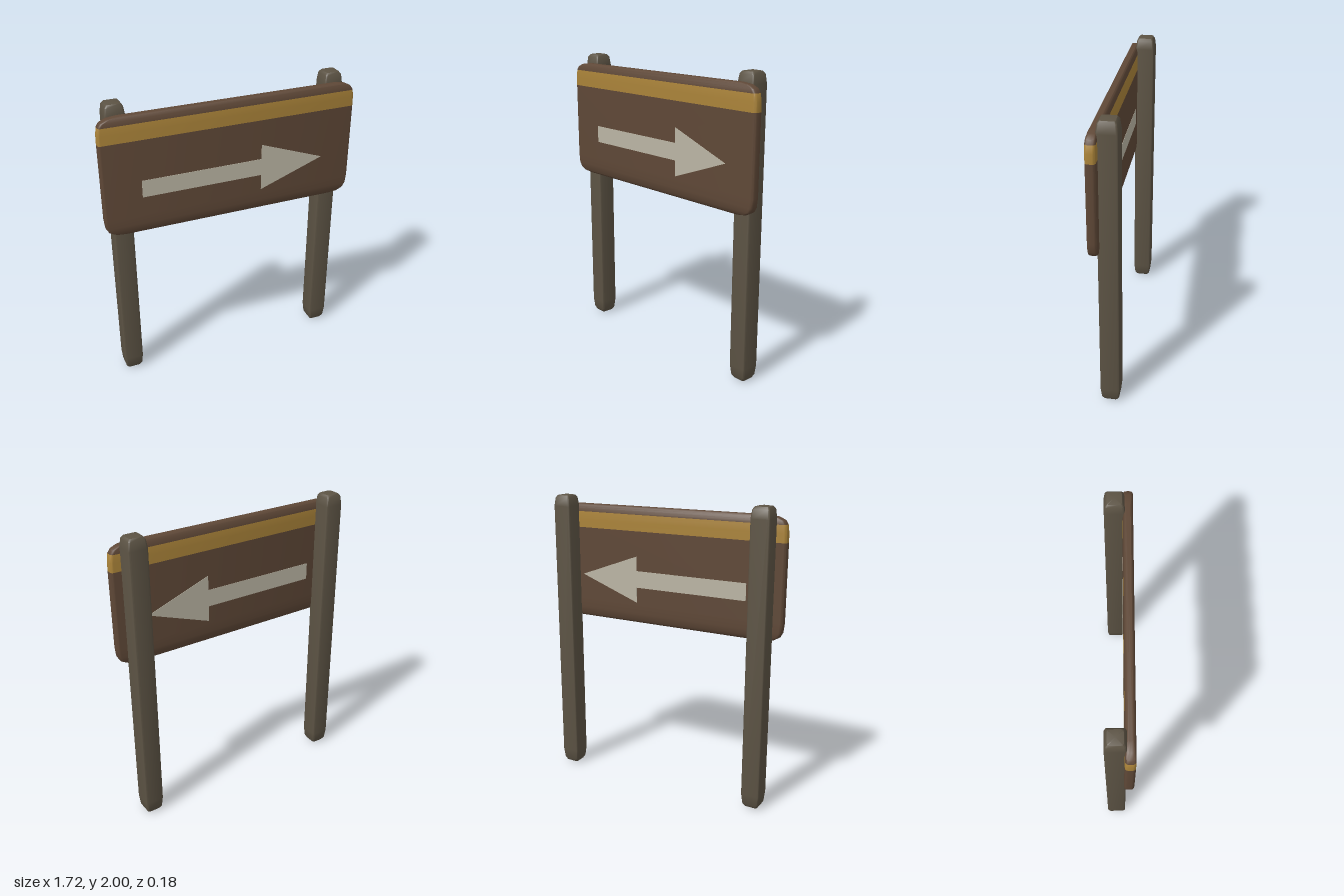
import * as THREE from 'three';
import { toCreasedNormals } from 'three/addons/utils/BufferGeometryUtils.js';

const paint = (name, color) => {
  const m = new THREE.MeshStandardMaterial({ color });
  m.name = name;
  return m;
};

// Stacks rounded rectangles [y, halfWidth, halfDepth, materialIndex]; zero width closes an end.
function loft(levels, radius) {
  const pos = [], index = [], perCorner = 4, n = perCorner * 4;
  const corners = [[1, 1], [-1, 1], [-1, -1], [1, -1]];
  for (const [y, w, d] of levels) {
    const r = Math.min(radius, w, d);
    corners.forEach(([sx, sz], c) => {
      for (let k = 0; k < perCorner; k++) {
        const a = (c + k / (perCorner - 1)) * Math.PI / 2;
        pos.push(sx * (w - r) + r * Math.cos(a), y, -(sz * (d - r) + r * Math.sin(a)));
      }
    });
  }
  const geo = new THREE.BufferGeometry();
  for (let j = 0; j < levels.length - 1; j++) {
    const start = index.length;
    for (let i = 0; i < n; i++) {
      const i2 = (i + 1) % n;
      const a = j * n + i, b = j * n + i2, c = b + n, d = a + n;
      if (levels[j][1] > 0) index.push(a, b, levels[j + 1][1] > 0 ? c : d);
      if (levels[j + 1][1] > 0) index.push(a, c, d);
    }
    geo.addGroup(start, index.length - start, levels[j][3] || 0);
  }
  geo.setAttribute('position', new THREE.Float32BufferAttribute(pos, 3));
  geo.setIndex(index);
  return toCreasedNormals(geo, 0.65);
}

export function createModel() {
  const group = new THREE.Group();
  const postWood = paint('postWood', 0x5c5344);
  const boardBrown = paint('boardBrown', 0x5f4837);
  const stripeOchre = paint('stripeOchre', 0xaa8339);
  const arrowCream = paint('arrowCream', 0xbbb5a4);

  const add = (name, geo, mat, x, y, z) => {
    const mesh = new THREE.Mesh(geo, mat);
    mesh.name = name;
    mesh.position.set(x, y, z);
    group.add(mesh);
    return mesh;
  };

  // Square posts with softened, slightly pointed ends
  const postGeo = loft([
    [0, 0, 0], [0.008, 0.045, 0.045], [0.03, 0.057, 0.057], [0.1, 0.064, 0.064],
    [1.92, 0.064, 0.064], [1.975, 0.057, 0.057], [1.992, 0.045, 0.045], [2, 0, 0],
  ], 0.012);
  add('leftPost', postGeo, [postWood], 0.732, 0, -0.025);
  add('rightPost', postGeo, [postWood], -0.732, 0, -0.025);

  // Rounded board; the ochre stripe wraps all the way around it
  const boardZ = 0.057, halfDepth = 0.0315;
  const boardGeo = loft([
    [1.138, 0, 0], [1.138, 0.74, 0.016], [1.148, 0.8, 0.024], [1.17, 0.838, 0.029],
    [1.2, 0.854, halfDepth], [1.26, 0.861, halfDepth], [1.77, 0.862, halfDepth, 1],
    [1.83, 0.861, halfDepth, 1], [1.88, 0.854, halfDepth], [1.905, 0.838, 0.029],
    [1.924, 0.8, 0.024], [1.933, 0.74, 0.016], [1.933, 0, 0],
  ], 0.018);
  add('signBoard', boardGeo, [boardBrown, stripeOchre], 0, 0, boardZ);

  // Arrow plates on both faces, pointing to the same side
  const arrow = new THREE.Shape([
    [-0.61, 1.385], [0.2, 1.385], [0.2, 1.28], [0.64, 1.44],
    [0.2, 1.6], [0.2, 1.5], [-0.61, 1.5],
  ].map(([x, y]) => new THREE.Vector2(x, y)));
  const arrowGeo = new THREE.ExtrudeGeometry(arrow, { depth: 0.004, bevelEnabled: false });
  add('frontArrow', arrowGeo, arrowCream, 0, 0, boardZ + halfDepth - 0.002);
  add('backArrow', arrowGeo, arrowCream, 0, 0, boardZ - halfDepth - 0.002);

  return group;
}
